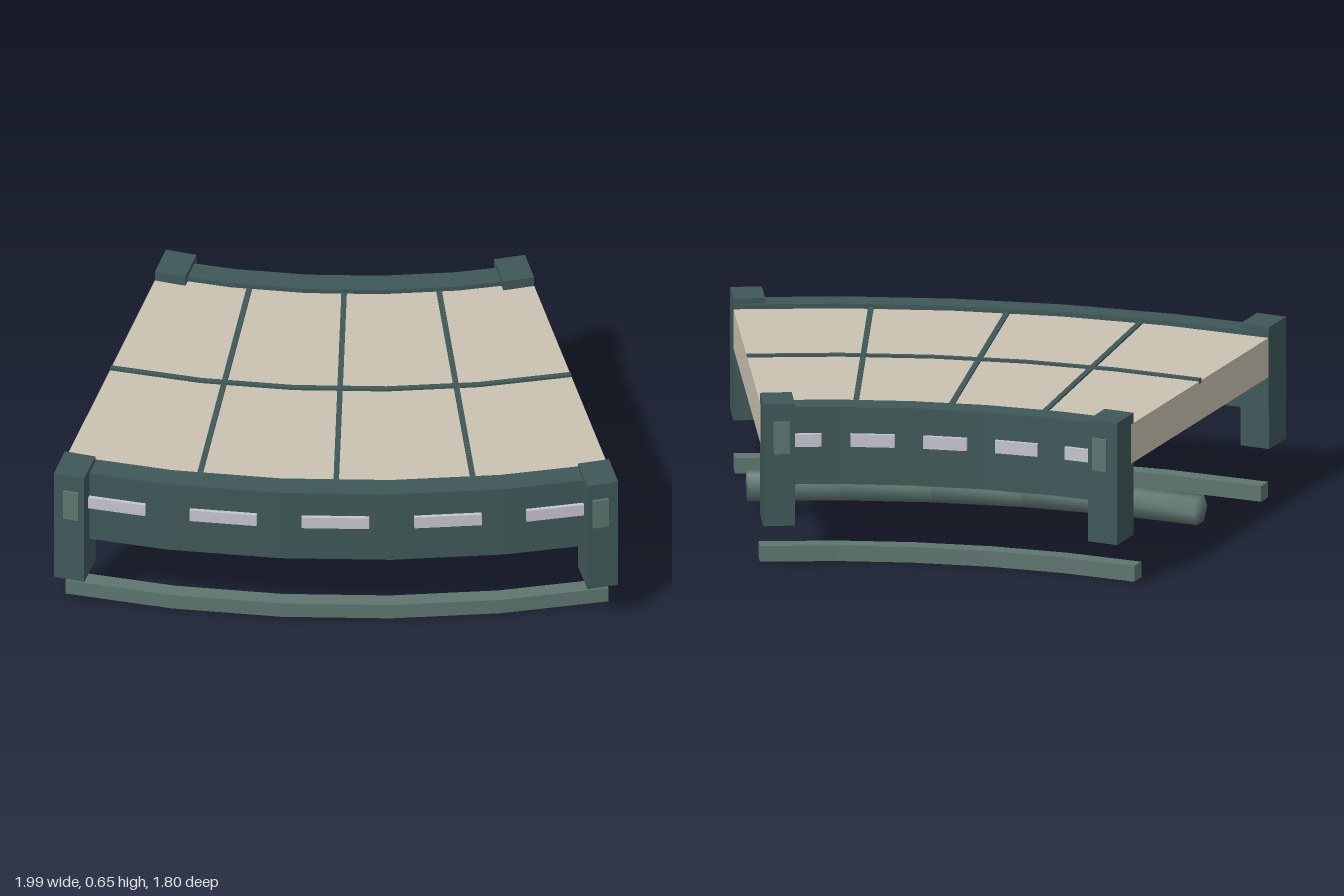
import * as THREE from 'three';

const X0 = -0.995, CZ = -3.095;      // centre of the curve
const SWEEP = Math.PI / 6, SEGS = 5, STEP = SWEEP / SEGS;

const mat = (name, color) => {
  const m = new THREE.MeshStandardMaterial({ color });
  m.name = name;
  return m;
};

// Sweeps a counter-clockwise (radius, y) section around the centre, with end caps
function sweep(section, a0, a1, segs, smooth = false) {
  const n = section.length, pos = [], idx = [];
  for (let s = 0; s <= segs; s++) {
    const a = a0 + (a1 - a0) * s / segs;
    for (const [r, y] of section) pos.push(X0 + r * Math.sin(a), y, CZ + r * Math.cos(a));
  }
  for (let s = 0; s < segs; s++) for (let i = 0; i < n; i++) {
    const j = (i + 1) % n, a = s * n, b = a + n;
    idx.push(a + i, b + i, a + j, b + i, b + j, a + j);
  }
  const e = segs * n;
  for (let i = 1; i < n - 1; i++) idx.push(0, i, i + 1, e, e + i + 1, e + i);
  let g = new THREE.BufferGeometry();
  g.setAttribute('position', new THREE.Float32BufferAttribute(pos, 3));
  g.setIndex(idx);
  if (!smooth) g = g.toNonIndexed();
  g.computeVertexNormals();
  return g;
}

const rect = (r0, r1, y0, y1) => [[r0, y0], [r1, y0], [r1, y1], [r0, y1]];

export function createModel() {
  const model = new THREE.Group();
  const dark = mat('dark teal', 0x3f5858);
  const grey = mat('grey green', 0x5e756f);
  const sand = mat('sand', 0xcac2b2);
  const pale = mat('pale light', 0xc6c5ce);

  const add = (name, geo, material, parent = model) => {
    const m = new THREE.Mesh(geo, material);
    m.name = name;
    parent.add(m);
    return m;
  };
  const arc = (name, section, material) => add(name, sweep(section, 0, SWEEP, SEGS), material);

  // Group turned about the curve centre: local z is the radius, local x the tangent
  const turned = (name, angle) => {
    const g = new THREE.Group();
    g.name = name;
    g.position.set(X0, 0, CZ);
    g.rotation.y = angle;
    model.add(g);
    return g;
  };
  const box = (name, w, h, d, x, y, z, material, parent) =>
    add(name, new THREE.BoxGeometry(w, h, d), material, parent).position.set(x, y, z);

  // Floor slab and the curved seam along its middle
  arc('deck', rect(2.655, 3.836, 0.459, 0.609), sand);
  arc('middleSeam', rect(3.24, 3.26, 0.6, 0.618), dark);

  // Cross seams
  for (let i = 1; i < 4; i++)
    box('crossSeam', 0.02, 0.016, 1.17, 0, 0.608, 3.245, dark, turned('crossSeamPivot', SWEEP * i / 4));

  // Side walls, lamps, end posts and lower rails
  const sides = [
    { name: 'front', inner: 3.835, outer: 3.925, face: 3.925, out: 1, post: 3.912, rail: [3.772, 3.832] },
    { name: 'back', inner: 2.565, outer: 2.655, face: 2.565, out: -1, post: 2.606, rail: [2.684, 2.744] },
  ];
  for (const s of sides) {
    arc(s.name + 'Wall', rect(s.inner, s.outer, 0.332, 0.627), dark);
    arc(s.name + 'LowerRail', rect(s.rail[0], s.rail[1], 0, 0.06), grey);

    for (let i = 0; i < SEGS; i++) {
      const g = turned(s.name + 'LampPivot', (i + 0.5) * STEP);
      const r = s.face * Math.cos(STEP / 2) + s.out * 0.006;
      box(s.name + 'Lamp', s.face * STEP * 0.6, 0.048, 0.016, 0, 0.503, r, pale, g);
    }

    for (const [angle, x] of [[0, 0.058], [SWEEP, -0.058]]) {
      const g = turned(s.name + 'Post', angle);
      box('postBody', 0.116, 0.466, 0.144, x, 0.415, s.post, dark, g);
      box('postPanel', 0.058, 0.122, 0.018, Math.sign(x) * 0.067, 0.52, s.post + s.out * 0.073, grey, g);
    }
  }

  // Six-sided pipe under the deck, in separate lengths
  const hex = [];
  for (let i = 0; i < 6; i++) {
    const a = i * Math.PI / 3;
    hex.push([3.252 + 0.058 * Math.cos(a), 0.115 + 0.058 * Math.sin(a)]);
  }
  for (let i = 0; i < SEGS; i++)
    add('pipeLength', sweep(hex, i * STEP, (i + 1) * STEP, 1, true), grey);

  return model;
}
